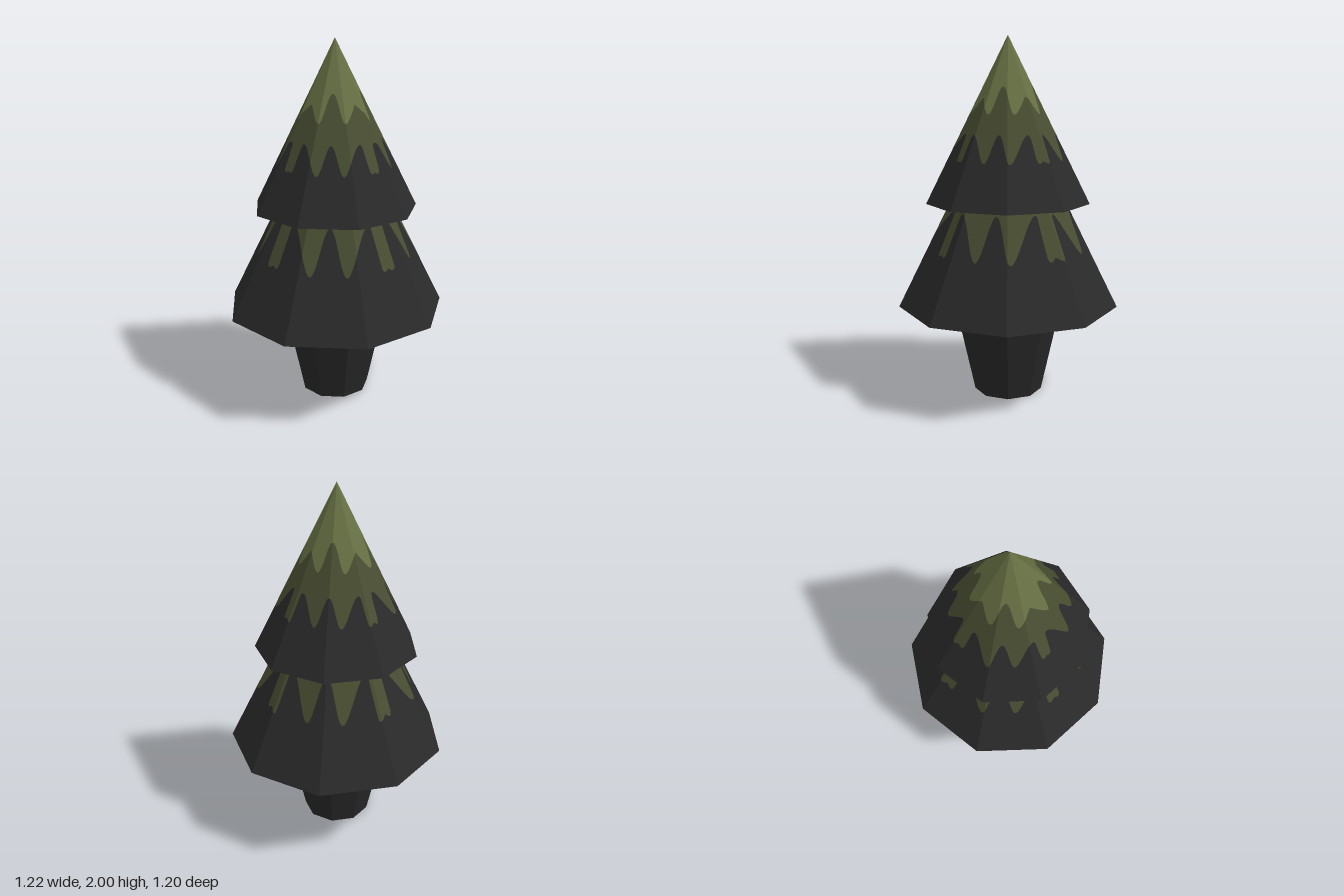
import * as THREE from 'three';

const SIDES = 9, COLUMNS = 360, AXIS_Z = 0.018;
const START = Math.PI / SIDES; // a flat face looks to the front

const material = (name, color) => {
  const m = new THREE.MeshStandardMaterial({ color, flatShading: true });
  m.name = name;
  return m;
};

// Flat-sided radius factor in a given direction, 1 at the corners
function facet(angle) {
  const step = (2 * Math.PI) / SIDES;
  const a = angle - Math.round(angle / step) * step;
  return Math.cos(step / 2) / Math.cos(a);
}

// Point on a tier's surface
function onTier(tier, angle, y) {
  const r = tier.radius * facet(angle) * (tier.top - y) / (tier.top - tier.base);
  return new THREE.Vector3(r * Math.sin(angle), y, r * Math.cos(angle));
}

// Height of a scalloped colour edge, waving along x on front/back and z on the sides
function scallop(tier, low, high) {
  return angle => {
    const excess = y => {
      const p = onTier(tier, angle, y);
      const s = Math.min(Math.abs(p.x), Math.abs(p.z));
      return y - (low + high) / 2 - (high - low) / 2 * Math.cos(2 * Math.PI * s / tier.pitch);
    };
    let a = low - 0.001, b = high + 0.001;
    for (let i = 0; i < 24; i++) {
      const m = (a + b) / 2;
      if (excess(m) < 0) a = m; else b = m;
    }
    return a;
  };
}

// Strip of foliage between two edges
function band(name, tier, lower, upper, mat) {
  const pos = [];
  const add = (...pts) => pts.forEach(p => pos.push(p.x, p.y, p.z));
  for (let i = 0; i < COLUMNS; i++) {
    const a0 = (i / COLUMNS) * 2 * Math.PI, a1 = ((i + 1) / COLUMNS) * 2 * Math.PI;
    const p0 = onTier(tier, a0, lower(a0)), p1 = onTier(tier, a1, lower(a1));
    const q0 = onTier(tier, a0, upper(a0)), q1 = onTier(tier, a1, upper(a1));
    add(p0, p1, q0);
    if (q0.distanceTo(q1) > 1e-6) add(p1, q1, q0);
  }
  const geo = new THREE.BufferGeometry();
  geo.setAttribute('position', new THREE.Float32BufferAttribute(pos, 3));
  geo.computeVertexNormals();
  const mesh = new THREE.Mesh(geo, mat);
  mesh.name = name;
  return mesh;
}

// One cone of foliage: coloured bands from the base up, plus its underside
function foliage(name, tier, edges, mats) {
  const group = new THREE.Group();
  group.name = name;
  const limits = [() => tier.base, ...edges.map(([lo, hi]) => scallop(tier, lo, hi)), () => tier.top];
  const names = ['darkSkirt', 'middleBand', 'lightTip'];
  for (let i = 0; i < limits.length - 1; i++) {
    group.add(band(names[i], tier, limits[i], limits[i + 1], mats[i]));
  }
  const under = new THREE.Mesh(new THREE.CircleGeometry(tier.radius, SIDES, Math.PI / 2 + START), mats[0]);
  under.name = 'underside';
  under.rotation.x = Math.PI / 2;
  under.position.y = tier.base;
  // put a corner towards the back
  under.geometry.rotateZ(-Math.PI / 2 - START - Math.PI / 2);
  group.add(under);
  return group;
}

export function createModel() {
  const mats = [
    material('dark foliage', 0x2a2a2b),
    material('olive foliage', 0x484d31),
    material('light foliage', 0x677044),
  ];
  const bark = material('bark', 0x272727);

  const tree = new THREE.Group();
  tree.name = 'tree';
  tree.position.z = AXIS_Z;

  // Tapered trunk, widening upward
  const trunk = new THREE.Mesh(new THREE.CylinderGeometry(0.305, 0.193, 0.515, SIDES, 1, false, START), bark);
  trunk.name = 'trunk';
  trunk.position.y = 0.2575;
  tree.add(trunk);

  // Two stacked tiers
  tree.add(foliage('lowerFoliage', { base: 0.513, top: 1.745, radius: 0.618, pitch: 0.192 },
    [[0.83, 1.06]], mats));
  tree.add(foliage('upperFoliage', { base: 1.09, top: 2, radius: 0.457, pitch: 0.142 },
    [[1.33, 1.475], [1.58, 1.725]], mats));

  const model = new THREE.Group();
  model.name = 'coniferTree';
  model.add(tree);
  return model;
}
